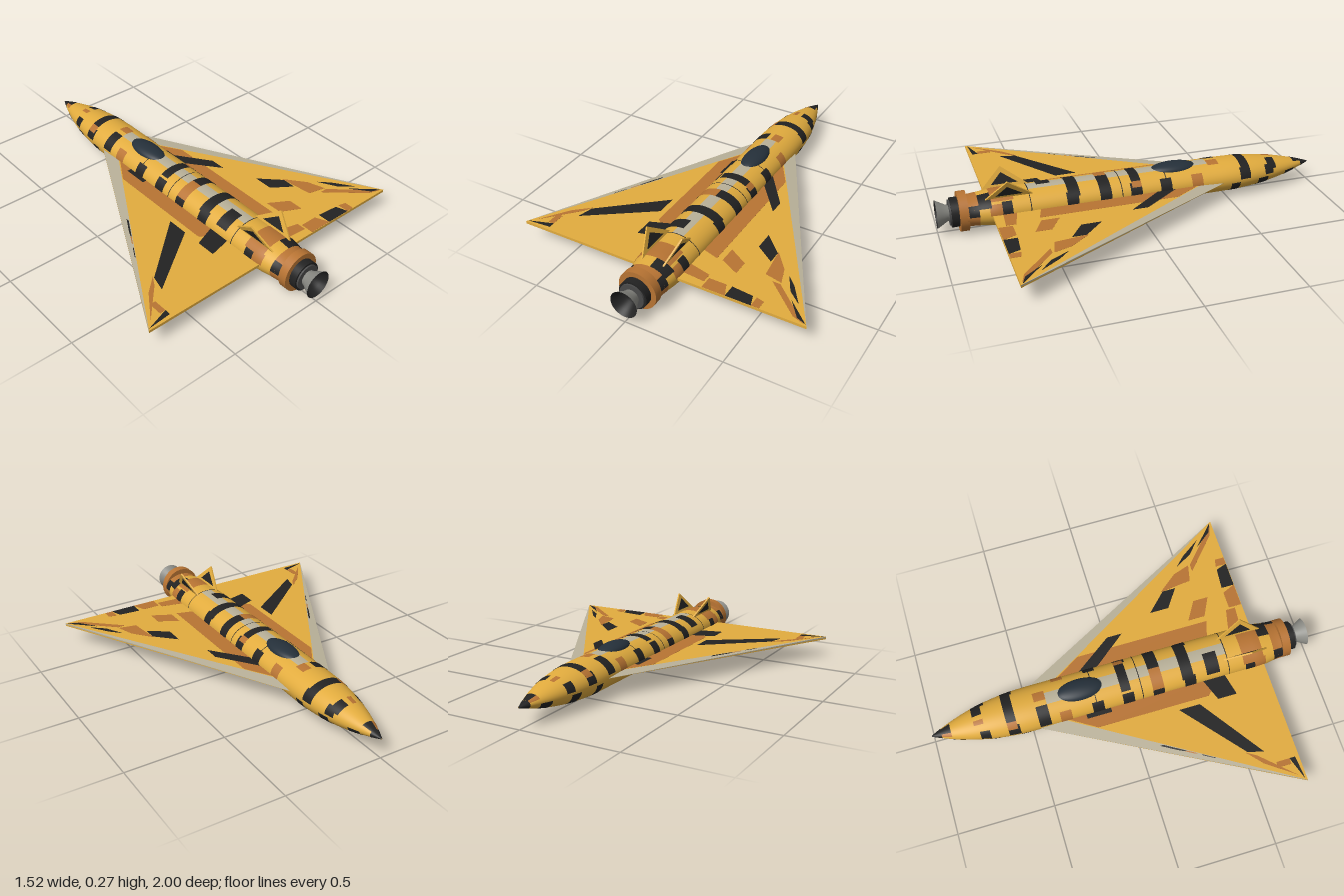
import * as THREE from 'three';
import { ParametricGeometry } from 'three/addons/geometries/ParametricGeometry.js';
import { ConvexGeometry } from 'three/addons/geometries/ConvexGeometry.js';

const mat = (color) => new THREE.MeshStandardMaterial({ color, side: THREE.DoubleSide });
const yellow = mat(0xe2ac3e), brown = mat(0xb87433), black = mat(0x222222);
const grey = mat(0xb9b199), glass = mat(0x25303a), steel = mat(0x4a4a4a), bell = mat(0x8c8c86);
const CY = 0.1; // height of the fuselage axis
const DEG = Math.PI / 180;

// Half width of the fuselage at z (nose at z = -1); height is 0.72 of it
function radius(z) {
  if (z < -0.45) return 0.002 + 0.116 * (1 - Math.pow(1 - (z + 1) / 0.55, 2.3));
  return 0.118 - 0.018 * THREE.MathUtils.smoothstep(z, 0.7, 0.85);
}

// Patch of fuselage skin; angles in degrees from the top towards +x
function skin(z0, z1, a0, a1, lift = 0) {
  const slices = Math.max(2, Math.ceil((z1 - z0) / 0.025));
  const stacks = Math.max(2, Math.ceil((a1 - a0) / 7.5));
  return new ParametricGeometry((u, v, p) => {
    const z = z0 + (z1 - z0) * u, a = (a0 + (a1 - a0) * v) * DEG, r = radius(z);
    p.set((r + lift) * Math.sin(a), CY + (r * 0.72 + lift) * Math.cos(a), z);
  }, slices, stacks);
}

// Flat plate with an outline of [x, z] corners, hanging below yTop
function slab(points, yTop, depth) {
  const shape = new THREE.Shape(points.map(([x, z]) => new THREE.Vector2(x, z)));
  return new THREE.ExtrudeGeometry(shape, { depth, bevelEnabled: false })
    .rotateX(Math.PI / 2).translate(0, yTop, 0);
}

// Upright plate with an outline of [z, height] corners, centred on x = 0
function finPlate(points, depth) {
  const shape = new THREE.Shape(points.map(([z, h]) => new THREE.Vector2(z, h)));
  return new THREE.ExtrudeGeometry(shape, { depth, bevelEnabled: false })
    .translate(0, 0, -depth / 2).rotateY(-Math.PI / 2);
}

export function createModel() {
  const model = new THREE.Group();
  const add = (name, geometry, material, parent = model) => {
    const mesh = new THREE.Mesh(geometry, material);
    mesh.name = name;
    parent.add(mesh);
    return mesh;
  };

  // Fuselage and its camouflage blocks
  add('fuselage', skin(-1, 0.86, 0, 360), yellow);
  add('noseTip', skin(-1, -0.95, 0, 360, 0.001), black);
  add('spineStrip', skin(-0.4, 0.55, -15, 15, 0.0008), grey);
  add('tailBand', skin(0.8, 0.86, 0, 360, 0.001), brown);
  const camo = new THREE.Group();
  camo.name = 'fuselageCamouflage';
  model.add(camo);
  const topBlocks = [
    [-0.95, -0.9, -25, 40, black], [-0.95, -0.9, -60, -25, brown],
    [-0.78, -0.73, 12, 65, black], [-0.78, -0.73, -20, -4, brown],
    [-0.62, -0.57, -35, 55, black], [-0.62, -0.57, -60, -35, brown],
    [-0.46, -0.4, -80, -15, black], [-0.46, -0.4, -2, 22, brown],
    [-0.02, 0.03, -38, 40, black], [-0.02, 0.03, 40, 60, brown],
    [0.14, 0.2, 0, 60, black], [0.14, 0.2, -60, 0, brown],
    [0.3, 0.36, -55, 60, black], [0.43, 0.5, -60, 0, black],
    [0.63, 0.74, -60, 42, brown], [0.74, 0.8, 5, 60, black],
  ];
  for (const [z0, z1, a0, a1, m] of topBlocks) add('topBlock', skin(z0, z1, a0, a1, 0.0015), m, camo);
  // Staggered rows on the upper and lower flanks
  const upper = [[0.8, 0.85], [0.64, 0.69], [0.31, 0.37], [0.14, 0.2], [-0.02, 0.04],
    [-0.18, -0.12], [-0.62, -0.56], [-0.76, -0.71]];
  const lower = [[0.64, 0.7], [0.37, 0.43], [0.2, 0.26], [0.04, 0.09], [-0.15, -0.07],
    [-0.56, -0.51], [-0.73, -0.67], [-0.9, -0.84]];
  for (const s of [1, -1]) {
    const flank = (z0, z1, a0, a1, m) =>
      add('flankBlock', skin(z0, z1, s > 0 ? a0 : -a1, s > 0 ? a1 : -a0, 0.0012), m, camo);
    for (const [z0, z1] of upper) flank(z0, z1, 45, 86, black);
    for (const [z0, z1] of lower) flank(z0, z1, 96, 155, black);
    flank(-0.35, -0.29, 45, 86, brown);
    flank(0.69, 0.75, 50, 86, brown);
    flank(0.45, 0.48, 96, 125, brown);
  }
  for (const z of [-0.155, 0.085, 0.325, 0.55]) add('panelLine', skin(z - 0.002, z + 0.002, 0, 360, 0.002), black, camo);

  // Canopy
  const canopy = add('canopy', new THREE.SphereGeometry(1, 32, 20), glass);
  canopy.scale.set(0.058, 0.032, 0.125);
  canopy.position.set(0, 0.173, -0.22);

  // Delta wings with a wedge-shaped leading edge
  const TOP = 0.107, BOTTOM = 0.093;
  for (const s of [1, -1]) {
    const wing = new THREE.Group();
    wing.name = s > 0 ? 'leftWing' : 'rightWing';
    model.add(wing);
    const tip = [s * 0.76, 0.74], ridge = [s * 0.06, -0.42];
    add('wingPanel', slab([ridge, tip, [s * 0.06, 0.74]], TOP, TOP - BOTTOM), yellow, wing);
    for (const [y, m] of [[TOP, grey], [BOTTOM, yellow]]) {
      const corners = [[s * 0.06, CY, -0.57], [ridge[0], CY, ridge[1]], [ridge[0], y, ridge[1]],
        [tip[0], CY, tip[1]], [tip[0], y, tip[1]]].map((c) => new THREE.Vector3(...c));
      add('leadingEdge', new ConvexGeometry(corners), m, wing);
    }
    add('rootStripe', slab([[0.1, -0.34], [0.2, -0.18], [0.2, s > 0 ? 0.53 : 0.41], [0.1, 0.5]]
      .map(([x, z]) => [s * x, z]), TOP + 0.0006, 0.001), brown, wing);
  }

  // Camouflage on the wings: corners as [x, z]
  const wingCamo = new THREE.Group();
  wingCamo.name = 'wingCamouflage';
  model.add(wingCamo);
  const blackShapes = [
    [[-0.1, 0.4], [-0.23, 0.45], [-0.23, 0.55], [-0.1, 0.52]],
    [[-0.23, 0.24], [-0.23, 0.35], [-0.56, 0.58], [-0.54, 0.5]],
    [[-0.75, 0.73], [-0.63, 0.69], [-0.63, 0.72]],
    [[-0.1, -0.22], [-0.14, -0.22], [-0.14, -0.09], [-0.1, -0.09]],
    [[0.1, -0.22], [0.26, 0], [0.26, 0.08], [0.1, -0.12]],
    [[0.33, 0.26], [0.43, 0.36], [0.43, 0.43], [0.33, 0.36]],
    [[0.55, 0.48], [0.6, 0.53], [0.67, 0.63], [0.6, 0.57]],
    [[0.36, 0.67], [0.47, 0.68], [0.49, 0.738], [0.36, 0.738]],
    [[0.63, 0.62], [0.75, 0.73], [0.7, 0.71]],
  ];
  const brownShapes = [
    [[-0.54, 0.49], [-0.57, 0.54], [-0.72, 0.7], [-0.62, 0.56]],
    [[-0.63, 0.62], [-0.66, 0.62], [-0.66, 0.69], [-0.63, 0.69]],
    [[0.23, 0.44], [0.33, 0.5], [0.33, 0.58], [0.23, 0.53]],
    [[0.43, 0.35], [0.51, 0.45], [0.54, 0.54], [0.45, 0.52]],
    [[0.5, 0.55], [0.54, 0.55], [0.74, 0.73], [0.68, 0.71]],
    [[0.1, 0.62], [0.23, 0.65], [0.23, 0.7], [0.1, 0.69]],
    [[0.24, 0.67], [0.33, 0.67], [0.36, 0.738], [0.24, 0.738]],
    [[0.49, 0.68], [0.53, 0.69], [0.53, 0.738], [0.49, 0.738]],
  ];
  for (const pts of brownShapes) add('brownPatch', slab(pts, TOP + 0.0008, 0.001), brown, wingCamo);
  for (const pts of blackShapes) add('blackPatch', slab(pts, TOP + 0.0012, 0.0014), black, wingCamo);
  for (const i of [1, 2, 5, 6, 8]) add('undersidePatch', slab(blackShapes[i], BOTTOM + 0.0004, 0.0012), black, wingCamo);
  // Marks that lie on the sloping leading edge of the right wing
  const edgePoint = (t, k) => new THREE.Vector3(-0.06 - 0.7 * t, CY + 0.001 + 0.007 * k,
    -0.57 + 1.31 * t + 0.15 * k * (1 - t));
  for (const [t0, t1, m] of [[0.46, 0.55, black], [0.55, 0.59, brown], [0.61, 0.66, black]]) {
    const geometry = new THREE.BufferGeometry().setFromPoints(
      [edgePoint(t0, 0.1), edgePoint(t0, 0.9), edgePoint(t1, 0.9), edgePoint(t1, 0.1)]);
    geometry.setIndex([0, 2, 1, 0, 3, 2]);
    geometry.computeVertexNormals();
    add('edgeMark', geometry, m, wingCamo);
  }

  // Canted tail fins with dark centre panels
  for (const s of [1, -1]) {
    const fin = new THREE.Group();
    fin.name = s > 0 ? 'leftFin' : 'rightFin';
    fin.position.set(s * 0.055, 0.165, 0);
    fin.rotation.z = -s * 0.37;
    add('finPlate', finPlate([[0.52, 0], [0.77, 0], [0.66, 0.111]], 0.008), yellow, fin);
    add('finPanel', finPlate([[0.58, 0.022], [0.715, 0.022], [0.66, 0.08]], 0.0095), black, fin);
    model.add(fin);
  }

  // Engine: collar, housing and exhaust bell, turned about the z axis
  const ring = (name, r, z0, z1, m) => {
    const mesh = add(name, new THREE.CylinderGeometry(r, r, z1 - z0, 48).rotateX(Math.PI / 2), m);
    mesh.position.set(0, CY, (z0 + z1) / 2);
  };
  const turned = (name, profile, m) => {
    const pts = profile.map(([r, z]) => new THREE.Vector2(r, z));
    add(name, new THREE.LatheGeometry(pts, 48).rotateX(Math.PI / 2), m).position.y = CY;
  };
  ring('tailCollar', 0.1, 0.85, 0.893, brown);
  ring('engineHousing', 0.074, 0.89, 0.93, black);
  ring('housingStep', 0.064, 0.93, 0.938, steel);
  turned('exhaustBell', [[0.036, 0.93], [0.042, 0.95], [0.056, 0.975], [0.07, 1]], bell);
  turned('exhaustInside', [[0, 0.94], [0.034, 0.94], [0.054, 0.975], [0.07, 1]], black);

  return model;
}
